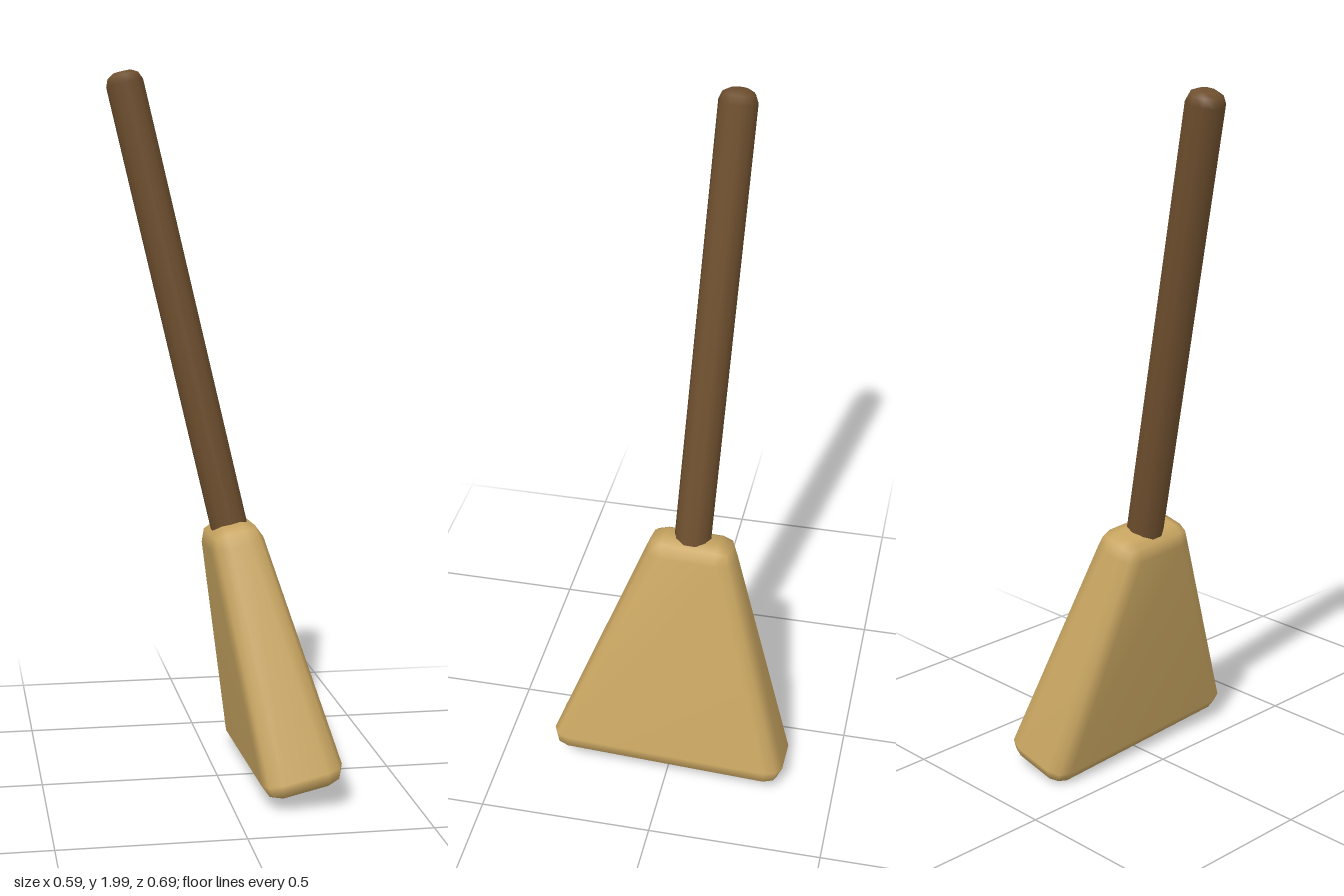
import * as THREE from 'three';
import { RoundedBoxGeometry } from 'three/addons/geometries/RoundedBoxGeometry.js';
import { mergeVertices } from 'three/addons/utils/BufferGeometryUtils.js';

const material = (name, color) => {
  const m = new THREE.MeshStandardMaterial({ color });
  m.name = name;
  return m;
};

// Bevelled block, widened towards the bottom while keeping its bevel radius
function taperedBlock(top, bottom, height, radius) {
  const geo = new RoundedBoxGeometry(top.x * 2, height, top.z * 2, 1, radius);
  geo.deleteAttribute('normal');
  geo.deleteAttribute('uv');
  geo.clearGroups();
  const p = geo.attributes.position;
  for (let i = 0; i < p.count; i++) {
    const y = p.getY(i) + height / 2;
    const t = 1 - THREE.MathUtils.clamp((y - radius) / (height - 2 * radius), 0, 1);
    const x = p.getX(i), z = p.getZ(i);
    p.setXYZ(i,
      x + Math.sign(x) * (bottom.x - top.x) * t,
      y,
      z + Math.sign(z) * (bottom.z - top.z) * t);
  }
  const merged = mergeVertices(geo, 1e-4);
  merged.computeVertexNormals();
  return merged;
}

export function createModel() {
  const straw = material('straw', 0xc8a561);
  const wood = material('dark wood', 0x6e4f2e);
  const broom = new THREE.Group();
  broom.name = 'broom';

  // Flared bristle head
  const head = new THREE.Mesh(
    taperedBlock({ x: 0.077, z: 0.13 }, { x: 0.114, z: 0.345 }, 0.722, 0.05), straw);
  head.name = 'bristleHead';
  broom.add(head);

  // Ten-sided stick with a softened tip
  const profile = [[0.053, 0.6], [0.053, 1.975], [0.044, 1.997], [0.026, 2.007], [0, 2.007]]
    .map(([r, y]) => new THREE.Vector2(r, y));
  const handle = new THREE.Mesh(new THREE.LatheGeometry(profile, 10), wood);
  handle.name = 'handle';
  broom.add(handle);

  // Lean of the whole broom
  broom.rotation.set(-0.048, 0, 0.224);
  broom.position.set(0.197, 0.036, 0);
  const model = new THREE.Group();
  model.name = 'leaningBroom';
  model.add(broom);
  return model;
}
